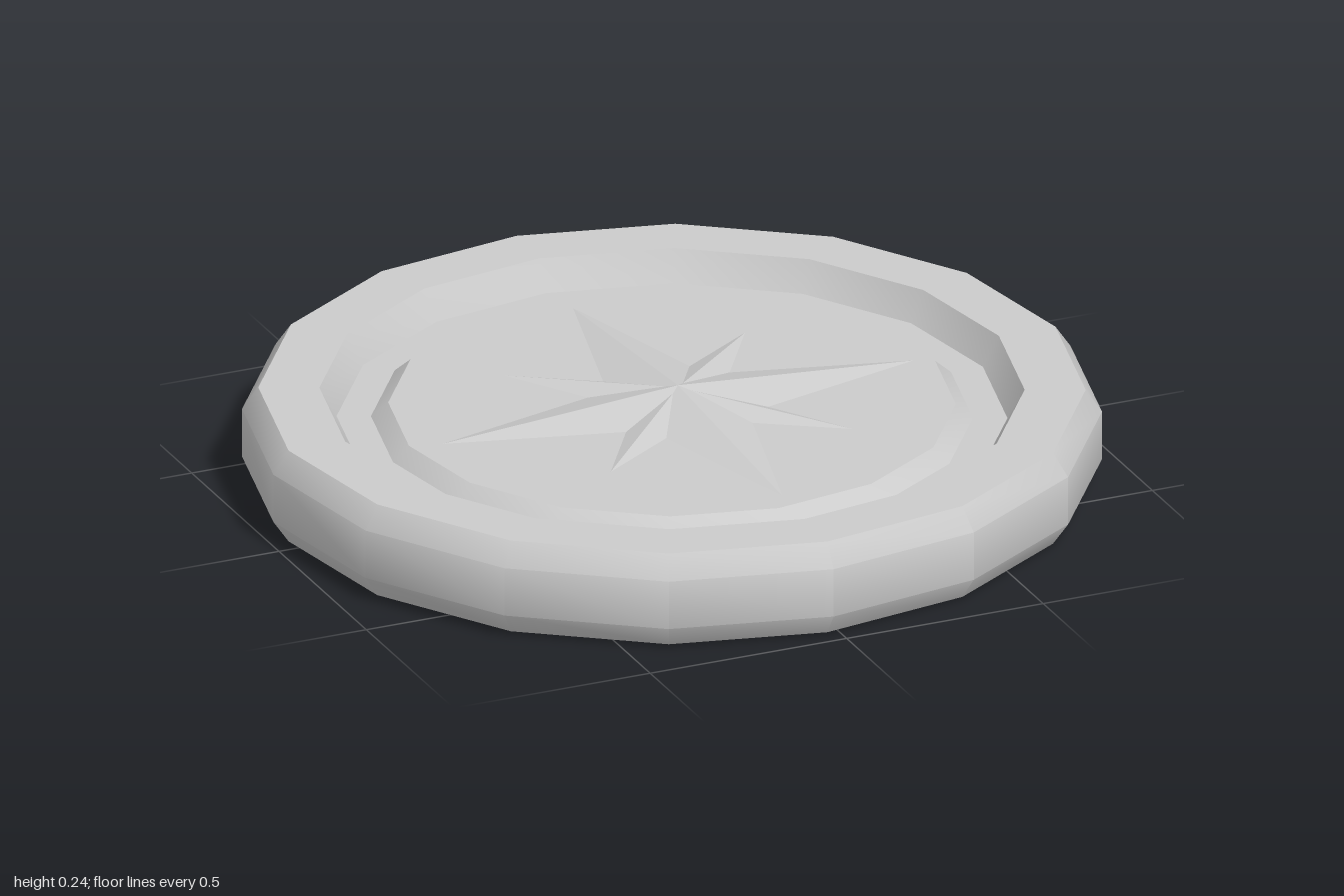
import * as THREE from 'three';
import { toCreasedNormals } from 'three/addons/utils/BufferGeometryUtils.js';

const MID = 0.1225; // half thickness; both faces mirror about this height
const FACE = 0.078; // raised centre face, measured from the middle

// Four-pointed pyramid star: tips and valleys alternate around a raised centre
function starGeometry(tip, valley, height, turn) {
  const point = (i) => {
    const a = turn + (i * Math.PI) / 4;
    const r = i % 2 ? valley : tip;
    return [r * Math.sin(a), 0, r * Math.cos(a)];
  };
  const pos = [];
  for (let i = 0; i < 8; i++) pos.push(0, height, 0, ...point(i), ...point(i + 1));
  const geo = new THREE.BufferGeometry();
  geo.setAttribute('position', new THREE.Float32BufferAttribute(pos, 3));
  geo.computeVertexNormals();
  return geo;
}

export function createModel() {
  const group = new THREE.Group();
  group.name = 'compassCoin';
  const material = new THREE.MeshStandardMaterial({ color: 0xcccccc });

  // Coin body: centre face, groove, rim and bevelled edge, mirrored top to bottom
  const half = [
    [0, FACE], [0.66, FACE], [0.70, 0.043], [0.78, 0.043],
    [0.82, 0.115], [0.962, 0.115], [1, 0.06],
  ];
  const profile = [
    ...half.map(([r, y]) => new THREE.Vector2(r, MID - y)),
    ...half.slice().reverse().map(([r, y]) => new THREE.Vector2(r, MID + y)),
  ];
  const body = new THREE.Mesh(
    toCreasedNormals(new THREE.LatheGeometry(profile, 16, -0.033), 0.62), material);
  body.name = 'coinBody';
  group.add(body);

  // Compass rose on each face: long cardinal star over a short diagonal star
  const cardinal = starGeometry(0.6, 0.176, 0.043, 0);
  const diagonal = starGeometry(0.435, 0.11, 0.038, Math.PI / 4);
  for (const side of ['top', 'bottom']) {
    const rose = new THREE.Group();
    rose.name = side + 'CompassRose';
    const parts = { cardinalStar: cardinal, diagonalStar: diagonal };
    for (const [name, geo] of Object.entries(parts)) {
      const star = new THREE.Mesh(geo, material);
      star.name = name;
      rose.add(star);
    }
    rose.position.set(0.015, MID + (side === 'top' ? FACE : -FACE), 0);
    if (side === 'bottom') rose.rotation.z = Math.PI;
    group.add(rose);
  }
  return group;
}
